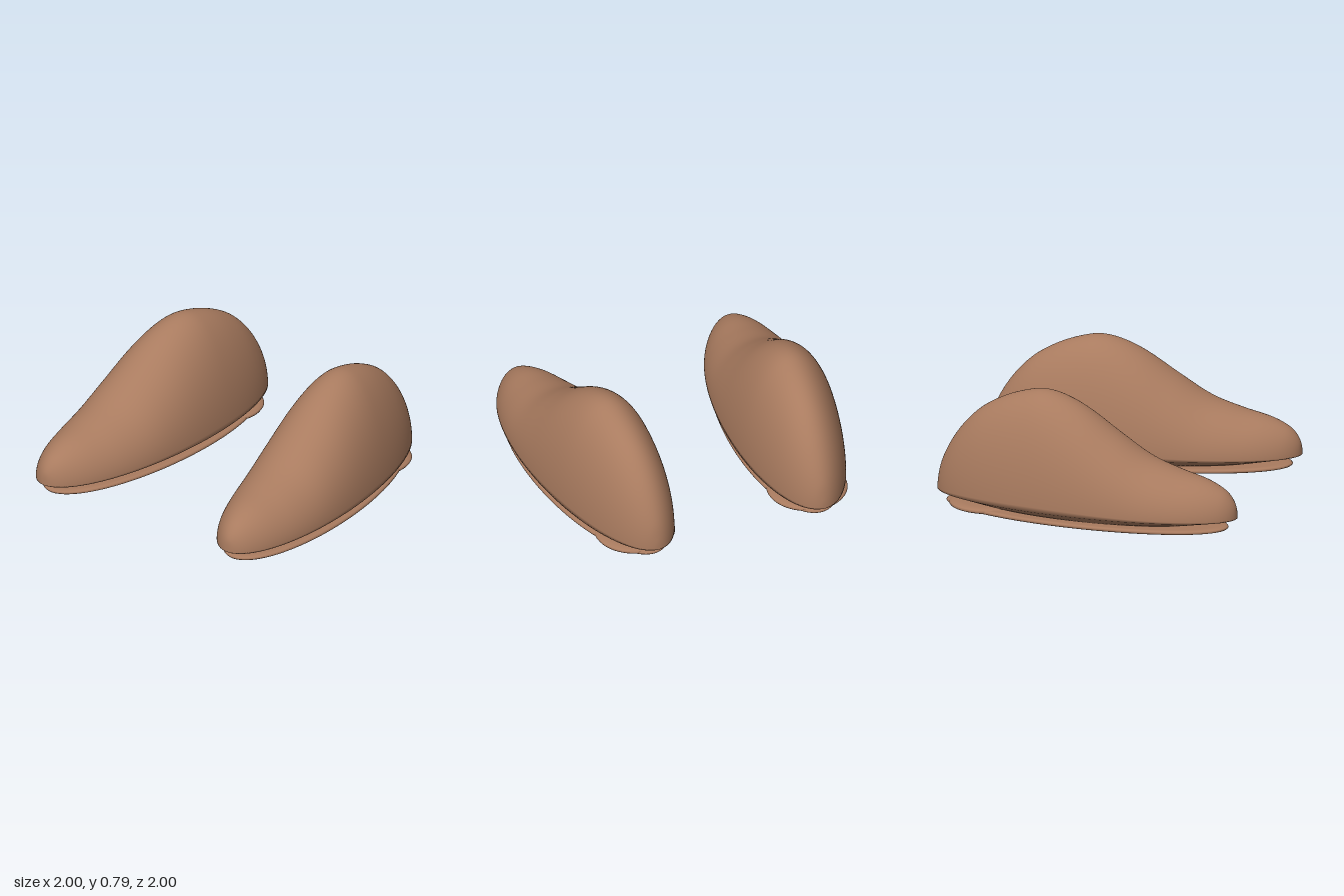
import * as THREE from 'three';

const RIM = 0.08, FLOOR = 0.024; // heights of the widest edge and of the underside
const CENTRE = 0.645, HALF_WIDTH = 0.346, SLANT = 0.08;

// Height of the ridge above the rim, from toe to heel: [z, height]
const ridge = new THREE.SplineCurve([
  [1, 0], [0.99, 0.08], [0.95, 0.145], [0.89, 0.19], [0.78, 0.235], [0.6, 0.28], [0.4, 0.35],
  [0.2, 0.475], [0, 0.61], [-0.15, 0.682], [-0.28, 0.71], [-0.4, 0.694], [-0.55, 0.642],
  [-0.7, 0.556], [-0.82, 0.44], [-0.91, 0.31], [-0.97, 0.18], [-0.995, 0.07], [-1, 0],
].map(([z, h]) => new THREE.Vector2(z, h)));

// Domed body: a sheet bent over the slanted oval outline and tucked in underneath
function bodyGeometry(side) {
  const arc = 56, across = arc + 4, along = 108;
  const geo = new THREE.PlaneGeometry(1, 1, across, along);
  const pos = geo.attributes.position;
  for (let j = 0; j <= along; j++) {
    const p = ridge.getPoint(j / along);
    const z = THREE.MathUtils.clamp(p.x, -1, 1);
    const half = HALF_WIDTH * Math.sqrt(1 - z * z);
    for (let i = 0; i <= across; i++) {
      // The two outermost columns on each side form the underside
      const tuck = Math.max(2 - i, i - arc - 2, 0);
      const scale = [1, 0.72, 0][tuck];
      const a = Math.PI * THREE.MathUtils.clamp((i - 2) / arc, 0, 1);
      const x = SLANT * side * z + half * Math.cos(a);
      const y = tuck ? FLOOR : RIM + Math.max(0, p.y) * Math.max(0, Math.sin(a)) ** 1.08;
      pos.setXYZ(j * (across + 1) + i, side * CENTRE + x * scale, y, z * scale);
    }
  }
  geo.computeVertexNormals();
  return geo;
}

// Turned profile, given as [radius, y]
function turned(profile) {
  return new THREE.LatheGeometry(profile.map(([r, y]) => new THREE.Vector2(r, y)), 80);
}

// Stretch a round part to the slanted oval outline of the shoe
function ovalGeometry(profile, side) {
  return turned(profile).applyMatrix4(new THREE.Matrix4().set(
    HALF_WIDTH, 0, side * SLANT, side * CENTRE,
    0, 1, 0, 0,
    0, 0, 1, 0,
    0, 0, 0, 1));
}

export function createModel() {
  const model = new THREE.Group();
  model.name = 'shoes';
  const brown = new THREE.MeshStandardMaterial({ color: 0xa97b5f });
  brown.name = 'brown';

  for (const side of [1, -1]) {
    const shoe = new THREE.Group();
    shoe.name = side > 0 ? 'leftShoe' : 'rightShoe';
    const add = (name, geo) => {
      const mesh = new THREE.Mesh(geo, brown);
      mesh.name = name;
      shoe.add(mesh);
    };

    add('body', bodyGeometry(side));

    // Thin sole with a rounded edge
    add('sole', ovalGeometry(
      [[0, 0], [0.89, 0], [0.915, 0], [0.932, 0.004], [0.94, 0.012],
        [0.932, 0.02], [0.91, 0.025], [0.88, 0.026], [0, 0.026]], side));

    // Round heel pad
    add('heelPad', turned(
      [[0, 0], [0.22, 0], [0.236, 0], [0.25, 0.006], [0.256, 0.015],
        [0.25, 0.025], [0.23, 0.034], [0.19, 0.037], [0, 0.037]])
      .translate(side * 0.587, 0, -0.657));

    model.add(shoe);
  }
  return model;
}
